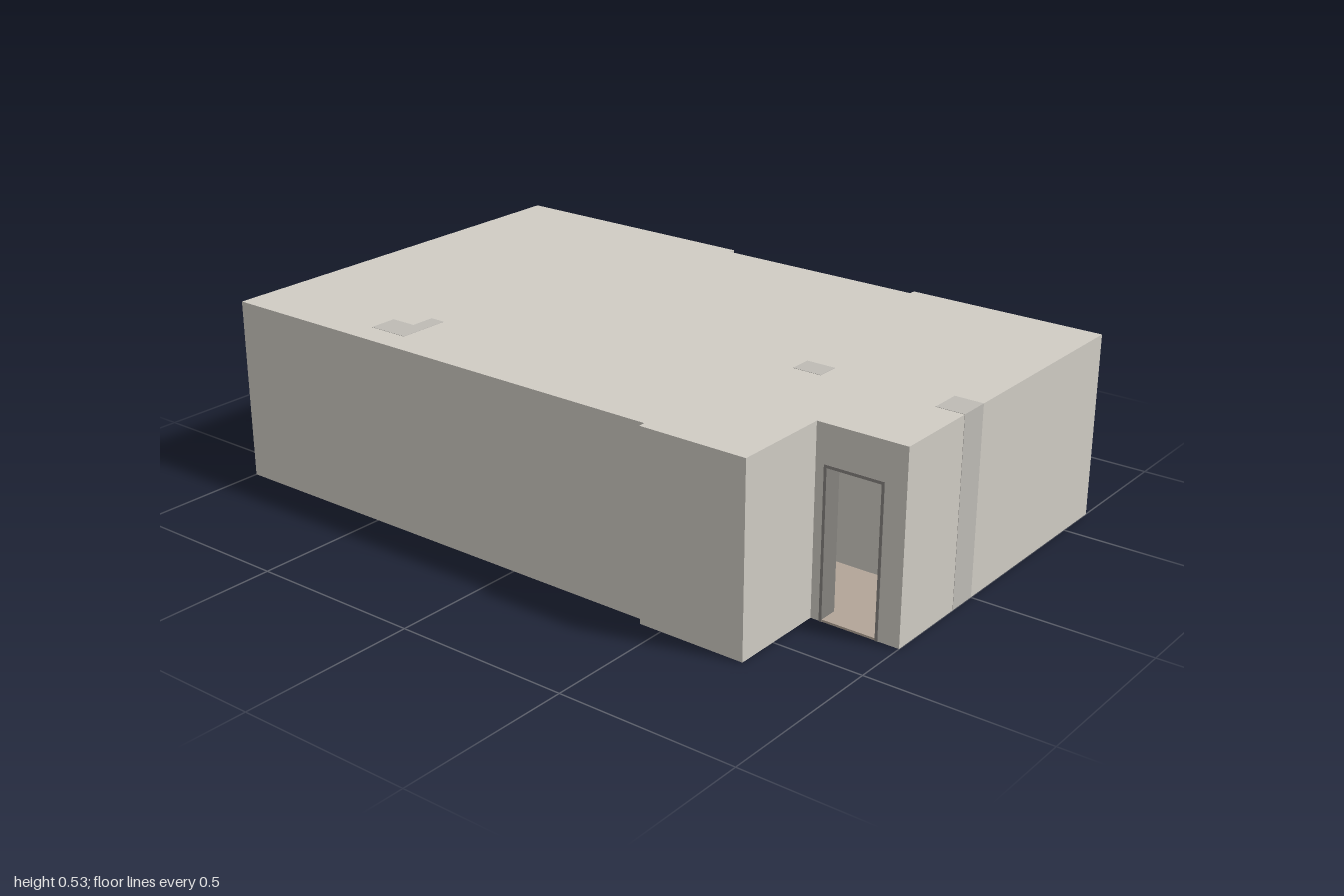
import * as THREE from 'three';

const H = 0.525, ROOF = 0.003, TOP = H - ROOF;
const mat = (color) => new THREE.MeshStandardMaterial({ color });
const M = {
  wall: mat(0xd0ccc4), shaft: mat(0xbebbb5), wood: mat(0xb3a598), tile: mat(0x96a3a3),
  frame: mat(0x85827e), glass: mat(0x7aa3ac), leaf: mat(0xc8c6c2), metal: mat(0x55534f),
};

export function createModel() {
  const model = new THREE.Group();
  model.name = 'apartment';

  const box = (name, m, x0, x1, y0, y1, z0, z1, parent = model) => {
    const mesh = new THREE.Mesh(new THREE.BoxGeometry(x1 - x0, y1 - y0, z1 - z0), m);
    mesh.position.set((x0 + x1) / 2, (y0 + y1) / 2, (z0 + z1) / 2);
    mesh.name = name;
    parent.add(mesh);
    return mesh;
  };

  // Elevation of a wall: openings [a, b, y0, y1]; those at y0 = 0 notch the outline.
  const elevation = (a, b, openings, top) => {
    const pts = [[a, 0]];
    openings.filter((o) => o[2] === 0).forEach(([p, q, , h]) => pts.push([p, 0], [p, h], [q, h], [q, 0]));
    pts.push([b, 0], [b, top], [a, top]);
    const shape = new THREE.Shape(pts.map((p) => new THREE.Vector2(...p)));
    openings.filter((o) => o[2] > 0).forEach(([p, q, l, h]) => shape.holes.push(
      new THREE.Path([[p, l], [p, h], [q, h], [q, l]].map((c) => new THREE.Vector2(...c)))));
    return shape;
  };
  const wall = (name, a, b, depth, openings, top) => {
    const geo = new THREE.ExtrudeGeometry(elevation(a, b, openings, top), { depth, bevelEnabled: false });
    const mesh = new THREE.Mesh(geo, M.wall);
    mesh.name = name;
    model.add(mesh);
    return mesh;
  };
  const wallX = (name, x0, x1, z0, z1, openings = [], top = TOP) => {
    wall(name, x0, x1, z1 - z0, openings, top).position.z = z0;
  };
  const wallZ = (name, z0, z1, x0, x1, openings = []) => {
    const w = wall(name, z0, z1, x1 - x0, openings, TOP);
    w.rotation.y = -Math.PI / 2;
    w.position.x = x1;
  };

  // Outer walls
  wallX('backWallLeft', 0.42, 1, -0.63, -0.55, [[0.608, 0.854, 0.18, 0.42]]);
  wallX('backWallRight', -1, -0.21, -0.63, -0.55, [[-0.777, -0.423, 0.18, 0.42]]);
  wallZ('leftWall', -0.55, 0.28, 0.95, 1);
  wallZ('rightWall', -0.55, 0.54, -1, -0.95);
  wallX('frontWall', -1, 0.435, 0.54, 0.605);
  wallX('frontWallStep', 0.435, 0.745, 0.56, 0.625);
  wallZ('porchWall', 0.28, 0.56, 0.69, 0.745);
  wallX('entranceWall', 0.69, 1, 0.28, 0.34, [[0.77, 0.94, 0, 0.42]]);

  // Loggia
  wallX('loggiaParapet', -0.21, 0.42, -0.63, -0.61, [], 0.22);
  wallX('loggiaBackWall', -0.27, 0.46, -0.485, -0.44, [[0.22, 0.39, 0, 0.42], [-0.15, 0.2, 0.18, 0.42]]);
  wallZ('loggiaSideLeft', -0.55, -0.485, 0.42, 0.46);
  wallZ('loggiaSideRight', -0.55, -0.485, -0.27, -0.21);

  // Partitions
  wallX('kitchenHallWall', 0.46, 0.95, 0, 0.05);
  wallZ('kitchenLivingWall', -0.44, 0.05, 0.42, 0.46, [[-0.2, -0.06, 0, 0.4]]);
  wallZ('bedroomLivingWall', -0.44, 0.2, -0.27, -0.21, [[0.02, 0.16, 0, 0.4]]);
  wallX('bedroomBathWall', -0.95, -0.27, 0.16, 0.2);
  wallZ('bathCorridorWall', 0.2, 0.54, -0.5, -0.44, [[0.22, 0.35, 0, 0.4]]);
  wallZ('hallLivingWall', 0.34, 0.56, 0.42, 0.46);

  // Floors: [name, material, x0, x1, z0, z1]
  [
    ['kitchenFloor', M.tile, 0.46, 0.95, -0.55, 0],
    ['livingFloor', M.wood, -0.21, 0.42, -0.44, 0.54],
    ['hallFloor', M.wood, 0.42, 0.95, 0.05, 0.28],
    ['closetFloor', M.wood, 0.46, 0.69, 0.28, 0.56],
    ['thresholdFloor', M.wood, 0.77, 0.94, 0.28, 0.34],
    ['loggiaFloor', M.wood, -0.21, 0.42, -0.61, -0.485],
    ['bedroomFloor', M.wood, -0.95, -0.27, -0.55, 0.16],
    ['corridorFloor', M.wood, -0.44, -0.21, 0.2, 0.54],
    ['bathFloor', M.tile, -0.95, -0.5, 0.2, 0.54],
  ].forEach(([n, m, x0, x1, z0, z1]) => box(n, m, x0, x1, 0, 0.006, z0, z1));

  // Roof, with a shallow cut above the parapet
  const outline = [[-1, -0.63], [-0.21, -0.63], [-0.21, -0.61], [0.42, -0.61], [0.42, -0.63], [1, -0.63],
    [1, 0.34], [0.745, 0.34], [0.745, 0.625], [0.435, 0.625], [0.435, 0.605], [-1, 0.605]];
  const roof = new THREE.Mesh(new THREE.ExtrudeGeometry(
    new THREE.Shape(outline.map(([x, z]) => new THREE.Vector2(x, z))),
    { depth: ROOF, bevelEnabled: false }), M.wall);
  roof.rotation.x = Math.PI / 2;
  roof.position.y = H;
  roof.name = 'roof';
  model.add(roof);

  // Vent shafts, just showing through the roof and the left wall
  [[0.92, 1.0008, 0, 0.09], [0.5, 0.585, 0.02, 0.085], [-0.56, -0.44, 0.45, 0.53], [-0.485, -0.44, 0.38, 0.45]]
    .forEach(([x0, x1, z0, z1]) => box('ventShaft', M.shaft, x0, x1, 0.001, H + 0.0008, z0, z1));

  // Glazed unit: border bars, mullions and panes, with its outer face at z
  const glazing = (name, x0, x1, y0, y1, z, panes) => {
    const g = new THREE.Group();
    g.name = name;
    model.add(g);
    const t = 0.014, w = (x1 - x0 - t) / panes;
    for (let i = 0; i <= panes; i++) box('upright', M.frame, x0 + i * w, x0 + i * w + t, y0, y1, z, z + 0.02, g);
    for (const y of [y0, y1 - t]) box('rail', M.frame, x0, x1, y, y + t, z + 0.001, z + 0.019, g);
    box('glass', M.glass, x0, x1, y0, y1, z + 0.008, z + 0.012, g);
    return g;
  };
  // Windows with a sill: [name, x0, x1, wall face z, reveal depth]
  [
    ['kitchenWindow', 0.608, 0.854, -0.63, 0.055],
    ['bedroomWindow', -0.777, -0.423, -0.63, 0.055],
    ['loggiaWindow', -0.15, 0.2, -0.485, 0.015],
  ].forEach(([n, x0, x1, z, d]) => {
    const g = glazing(n, x0, x1, 0.196, 0.42, z + d, 2);
    box('sill', M.wall, x0, x1, 0.18, 0.196, z === -0.63 ? z : z - 0.02, z + d + 0.02, g);
  });
  const loggiaDoor = glazing('loggiaDoor', 0.22, 0.39, 0.006, 0.42, -0.47, 1);
  box('lowerPanel', M.frame, 0.225, 0.385, 0.01, 0.1, -0.468, -0.452, loggiaDoor);

  // Entrance door frame and the leaf standing open into the hall
  const door = new THREE.Group();
  door.name = 'entranceDoor';
  model.add(door);
  for (const x of [0.77, 0.932]) box('jamb', M.frame, x, x + 0.008, 0, 0.42, 0.285, 0.342, door);
  box('head', M.frame, 0.778, 0.932, 0.412, 0.42, 0.285, 0.342, door);
  box('leaf', M.leaf, 0.924, 0.934, 0.008, 0.412, 0.12, 0.284, door);
  for (const x of [0.917, 0.934]) box('handle', M.metal, x, x + 0.007, 0.2, 0.208, 0.135, 0.165, door);

  return model;
}
